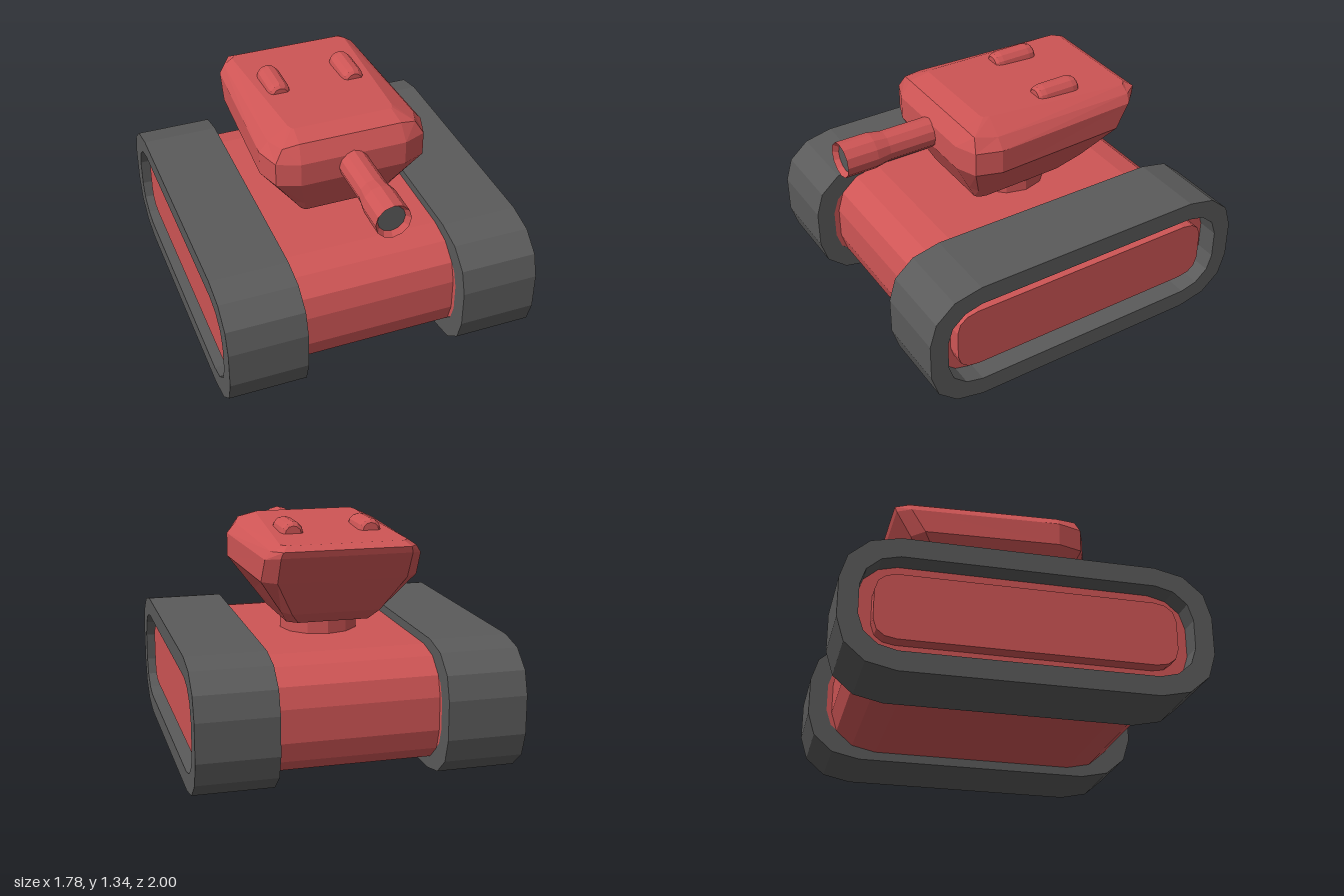
import * as THREE from 'three';

const red = new THREE.MeshStandardMaterial({ color: 0xce5555 });
red.name = 'red paint';
const grey = new THREE.MeshStandardMaterial({ color: 0x5a5a5a });
grey.name = 'dark grey rubber';

// Faceted mesh with one normal per face
function part(name, geometry, material) {
  const g = geometry.index ? geometry.toNonIndexed() : geometry;
  g.computeVertexNormals();
  const mesh = new THREE.Mesh(g, material);
  mesh.name = name;
  return mesh;
}

// Mirror one quarter (from the top round to the end) into the full loop
function outline(quarter) {
  const back = [...quarter].reverse();
  const flip = (list, sx, sy) => list.map(([x, y]) => new THREE.Vector2(x * sx, y * sy));
  return [...flip(quarter, 1, 1), ...flip(back, 1, -1), ...flip(quarter, -1, -1), ...flip(back, -1, 1)];
}

// Side outline extruded across x, from x0 to x1; a hole winds the other way
function slab(name, quarter, x0, x1, material, hole) {
  const shape = new THREE.Shape(outline(quarter));
  if (hole) shape.holes.push(new THREE.Path(outline(hole).reverse()));
  const g = new THREE.ExtrudeGeometry(shape, { depth: x1 - x0, bevelEnabled: false });
  g.rotateY(Math.PI / 2);
  g.translate(x0, 0.367, -0.01);
  return part(name, g, material);
}

// Closed skin through rings, each given as its +x half from front to back
function loft(rings) {
  const n = rings[0].length * 2;
  const pos = [];
  for (const half of rings) {
    const other = [...half].reverse().map(([x, y, z]) => [-x, y, z]);
    pos.push(...[...half, ...other].flat());
  }
  const idx = [];
  for (let r = 0; r < rings.length - 1; r++) {
    for (let i = 0; i < n; i++) {
      const a = r * n + i, b = r * n + (i + 1) % n;
      // mirrored diagonals keep both sides alike
      if (i < n / 2) idx.push(a, b, b + n, a, b + n, a + n);
      else idx.push(a, b, a + n, b, b + n, a + n);
    }
  }
  // caps in strips across the width
  const top = (rings.length - 1) * n;
  for (let i = 0; i < n / 2 - 1; i++) {
    const a = i, b = i + 1, c = n - 2 - i, d = n - 1 - i;
    idx.push(a, c, b, a, d, c);
    idx.push(top + a, top + b, top + c, top + a, top + c, top + d);
  }
  const g = new THREE.BufferGeometry();
  g.setAttribute('position', new THREE.Float32BufferAttribute(pos, 3));
  g.setIndex(idx);
  return g;
}

// Turned part lying along z
function turned(points, sides) {
  const g = new THREE.LatheGeometry(points.map(([r, z]) => new THREE.Vector2(r, z)), sides);
  g.rotateX(Math.PI / 2);
  return g;
}

export function createModel() {
  const model = new THREE.Group();
  model.name = 'tank';

  // Quarter outlines around the track centre
  const belt = [[0.68, 0.367], [0.84, 0.332], [0.95, 0.237], [0.99, 0.107]];
  const opening = [[0.68, 0.26], [0.78, 0.235], [0.855, 0.17], [0.885, 0.08]];
  const panel = [[0.68, 0.18], [0.745, 0.168], [0.787, 0.135], [0.805, 0.08]];
  const body = belt.map(([x, y]) => [x * 0.863, y * 0.863]);

  model.add(slab('hull', body, -0.45, 0.45, red));

  // Tracks with a recessed filler and a raised side panel
  for (const side of [1, -1]) {
    const name = side > 0 ? 'left' : 'right';
    const span = (a, b) => (side > 0 ? [a, b] : [-b, -a]);
    model.add(slab(name + 'Track', belt, ...span(0.45, 0.89), grey, opening));
    model.add(slab(name + 'TrackFiller', opening, ...span(0.451, 0.77), red));
    model.add(slab(name + 'SidePanel', panel, ...span(0.76, 0.85), red));
  }

  // Turret ring
  const neck = part('turretNeck', new THREE.CylinderGeometry(0.225, 0.225, 0.11, 12), red);
  neck.position.set(0, 0.725, -0.03);
  model.add(neck);

  // Turret: front, front corner, front side, rear side, rear corner per ring
  model.add(part('turret', loft([
    [[0.22, 0.763, 0.31], [0.24, 0.763, 0.29], [0.25, 0.763, 0.25], [0.235, 0.763, -0.23], [0.2, 0.785, -0.36]],
    [[0.243, 0.85, 0.357], [0.295, 0.85, 0.329], [0.315, 0.85, 0.259], [0.294, 0.85, -0.35], [0.25, 0.85, -0.43]],
    [[0.3, 1.055, 0.47], [0.425, 1.055, 0.42], [0.47, 1.055, 0.28], [0.435, 1.055, -0.49], [0.36, 1.055, -0.56]],
    [[0.3, 1.19, 0.47], [0.425, 1.19, 0.42], [0.47, 1.19, 0.28], [0.43, 1.19, -0.57], [0.36, 1.205, -0.645]],
    [[0.29, 1.285, 0.415], [0.38, 1.265, 0.4], [0.42, 1.25, 0.28], [0.4, 1.235, -0.58], [0.35, 1.24, -0.655]],
    [[0.28, 1.31, 0.3], [0.29, 1.3095, 0.29], [0.3, 1.308, 0.26], [0.35, 1.268, -0.58], [0.32, 1.2666, -0.61]],
  ]), red));

  // Gun barrel with a flared muzzle and dark bore
  const barrel = part('gunBarrel', turned([
    [0.085, 0.4], [0.085, 0.74], [0.099, 0.82], [0.099, 1], [0.076, 0.97],
  ], 12), red);
  barrel.position.y = 1.122;
  model.add(barrel);
  const bore = part('gunBore', new THREE.CircleGeometry(0.077, 12), grey);
  bore.position.set(0, 1.122, 0.971);
  model.add(bore);

  // Roof hatches
  for (const side of [1, -1]) {
    const hatch = part(side > 0 ? 'leftHatch' : 'rightHatch', turned([
      [0, -0.13], [0.045, -0.13], [0.06, -0.115], [0.066, -0.085],
      [0.066, 0.085], [0.06, 0.115], [0.045, 0.13], [0, 0.13],
    ], 12), red);
    hatch.position.set(side * 0.22, 1.277, -0.21);
    model.add(hatch);
  }
  return model;
}
